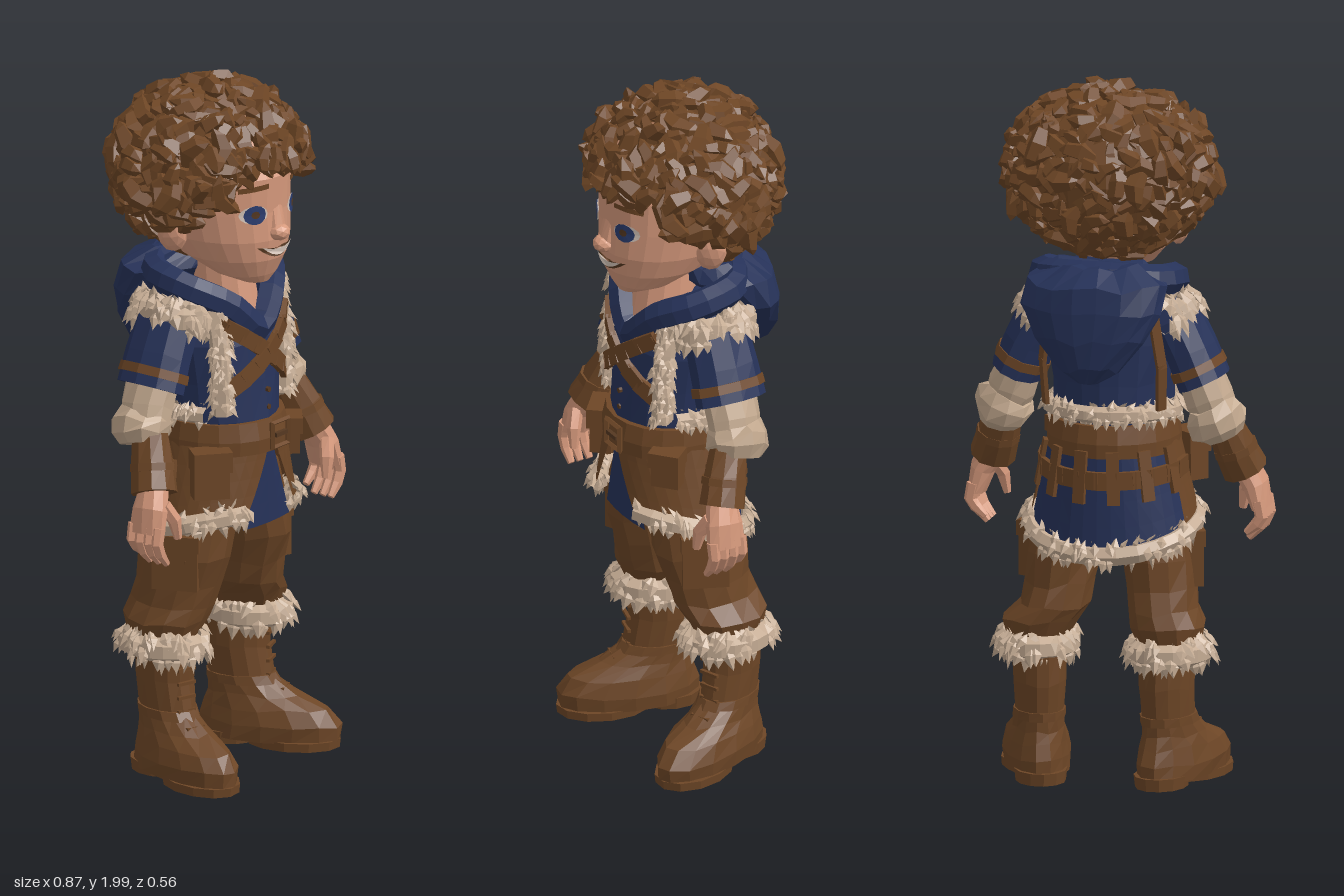
import * as THREE from 'three';
import { mergeGeometries } from 'three/addons/utils/BufferGeometryUtils.js';
import { ParametricGeometry } from 'three/addons/geometries/ParametricGeometry.js';

const V = (x, y, z) => new THREE.Vector3(x, y, z);
const mat = (name, color) => new THREE.MeshStandardMaterial({ name, color, flatShading: true, side: THREE.DoubleSide });

export function createModel() {
  const M = {
    hair: mat('hair brown', 0x6e4625), leather: mat('leather brown', 0x6d4626), skin: mat('skin', 0xd6997c),
    blue: mat('blue cloth', 0x263259), fur: mat('cream fur', 0xc4ab93), shirt: mat('cream linen', 0xc2a88e),
    iris: mat('eye blue', 0x2b3d70), white: mat('eye and tooth white', 0xd8c8bc), dark: mat('dark buckle brown', 0x553821),
  };
  const model = new THREE.Group();
  model.name = 'adventurer';
  let seed = 7;
  const rnd = () => (seed = (seed * 16807) % 2147483647) / 2147483647;
  const span = (a, b) => a + (b - a) * rnd();

  function add(name, geo, material, parent = model) {
    const m = new THREE.Mesh(geo, material);
    m.name = name;
    parent.add(m);
    return m;
  }
  const merge = list => mergeGeometries(list.map(g => (g.index ? g.toNonIndexed() : g)));
  const box = (w, h, d, x, y, z, ry = 0) => new THREE.BoxGeometry(w, h, d).rotateY(ry).translate(x, y, z);

  // Skin over elliptical rings [x, y, z, rx, rz], capped, optionally square to the path, with uneven folds
  function loft(rings, { seg = 12, tilt = false, folds = 0 } = {}) {
    if (rings[0][1] > rings.at(-1)[1]) rings = [...rings].reverse();
    const n = rings.length, pos = [], idx = [];
    const c = rings.map(r => V(r[0], r[1], r[2]));
    rings.forEach(([, , , rx, rz], i) => {
      const t = tilt ? c[Math.min(i + 1, n - 1)].clone().sub(c[Math.max(i - 1, 0)]).normalize() : V(0, 1, 0);
      const r = V(1, 0, 0).addScaledVector(t, -t.x).normalize(), f = r.clone().cross(t);
      for (let j = 0; j < seg; j++) {
        const a = (j / seg) * Math.PI * 2, k = 1 + folds * span(-1, 1);
        const p = c[i].clone().addScaledVector(r, Math.cos(a) * rx * k).addScaledVector(f, Math.sin(a) * rz * k);
        pos.push(p.x, p.y + folds * span(-0.25, 0.25) * (i > 0 ? 1 : 0), p.z);
      }
    });
    for (let i = 0; i < n - 1; i++) for (let j = 0; j < seg; j++) {
      const a = i * seg + j, b = i * seg + (j + 1) % seg;
      idx.push(a, a + seg, b, b, a + seg, b + seg);
    }
    pos.push(...c[0].toArray(), ...c[n - 1].toArray());
    for (let j = 0; j < seg; j++) {
      const k = (j + 1) % seg, top = (n - 1) * seg;
      idx.push(n * seg, j, k, n * seg + 1, top + k, top + j);
    }
    const g = new THREE.BufferGeometry();
    g.setAttribute('position', new THREE.Float32BufferAttribute(pos, 3));
    g.setIndex(idx);
    g.computeVertexNormals();
    return g;
  }

  // Fur roll: a core tube with flat leaf-shaped tufts lying over it
  function fur(points, closed, count, rad, len, down = 0.9) {
    const curve = new THREE.CatmullRomCurve3(points, closed);
    const list = [new THREE.TubeGeometry(curve, 20, rad, 6, closed)];
    for (let i = 0; i < count; i++) {
      const u = i / count, t = curve.getTangentAt(u);
      const d = V(span(-1, 1), span(-1, 1), span(-1, 1)).normalize();
      d.addScaledVector(t, -d.dot(t)).normalize();
      const p = curve.getPointAt(u).addScaledVector(d, rad);
      const lie = d.clone().multiplyScalar(0.6).add(V(0, -down, 0)).addScaledVector(t, span(-0.4, 0.4)).normalize();
      const side = lie.clone().cross(d).normalize();
      const basis = new THREE.Matrix4().makeBasis(side, lie, side.clone().cross(lie)).setPosition(p);
      list.push(new THREE.OctahedronGeometry(1).scale(len * 0.32, len * span(0.45, 0.7), len * 0.18).applyMatrix4(basis));
    }
    return merge(list);
  }

  // Flat strap of plates following points round the body
  function strap(points, w, t) {
    return merge(points.slice(1).map((b, i) => {
      const a = points[i], d = b.clone().sub(a), m = a.clone().add(b).multiplyScalar(0.5);
      const x = d.clone().normalize(), out = V(m.x, 0, m.z - 0.02);
      out.addScaledVector(x, -out.dot(x)).normalize();
      const basis = new THREE.Matrix4().makeBasis(x, out.clone().cross(x), out).setPosition(m);
      return new THREE.BoxGeometry(d.length() + 0.012, w, t).applyMatrix4(basis);
    }));
  }

  // Head and face
  const headRings = [[0, 1.425, 0.15, 0.04, 0.04], [0, 1.45, 0.115, 0.09, 0.09], [0, 1.5, 0.07, 0.135, 0.158],
    [0, 1.56, 0.045, 0.163, 0.192], [0, 1.64, 0.03, 0.175, 0.203], [0, 1.74, 0.012, 0.18, 0.225], [0, 1.85, 0, 0.15, 0.18], [0, 1.92, 0, 0.08, 0.1]];
  add('head', loft(headRings, { seg: 24 }), M.skin);
  function faceZ(x, y) {
    const i = Math.max(1, headRings.findIndex(r => r[1] >= y)), a = headRings[i - 1], b = headRings[i];
    const [, , z, rx, rz] = a.map((v, k) => v + (b[k] - v) * (y - a[1]) / (b[1] - a[1]));
    return z + rz * Math.sqrt(Math.max(0, 1 - (x / rx) ** 2));
  }
  function onFace(name, geo, x, y, lift, material) {
    geo.translate(x, y, 0);
    const p = geo.attributes.position;
    for (let i = 0; i < p.count; i++) p.setZ(i, faceZ(p.getX(i), p.getY(i)) + lift);
    geo.computeVertexNormals();
    add(name, geo, material);
  }
  const smile = (w, top, low) => {
    const s = new THREE.Shape();
    s.moveTo(-w, 0.012).quadraticCurveTo(0, top, w, 0.012).quadraticCurveTo(0, low, -w, 0.012);
    return new THREE.ShapeGeometry(s, 8);
  };
  for (const s of [1, -1]) {
    onFace('eyeWhite', new THREE.CircleGeometry(1, 14).scale(0.036, 0.026, 1), s * 0.08 - 0.003, 1.642, 0.004, M.white);
    onFace('iris', new THREE.CircleGeometry(0.028, 12), s * 0.079 - 0.004, 1.642, 0.007, M.iris);
    onFace('pupil', new THREE.CircleGeometry(0.011, 8), s * 0.079 - 0.005, 1.643, 0.009, M.dark);
    onFace('eyebrow', new THREE.PlaneGeometry(0.075, 0.015, 4, 1).rotateZ(s * -0.12), s * 0.085, 1.718, 0.007, M.hair);
    add('ear', new THREE.IcosahedronGeometry(1, 1).scale(0.026, 0.058, 0.042).rotateY(s * -0.5).rotateZ(s * -0.25).translate(s * 0.195, 1.58, 0.01), M.skin);
  }
  onFace('mouth', smile(0.077, -0.006, -0.062), 0, 1.533, 0.005, M.dark);
  onFace('teeth', smile(0.066, -0.01, -0.05), 0, 1.533, 0.009, M.white);
  add('nose', new THREE.IcosahedronGeometry(1, 1).scale(0.032, 0.025, 0.034).translate(-0.005, 1.58, 0.236), M.skin);
  add('noseBridge', loft([[-0.004, 1.58, 0.222, 0.032, 0.032], [0, 1.67, 0.214, 0.026, 0.016]], { seg: 8 }), M.skin);
  add('neck', loft([[0, 1.3, 0.055, 0.085, 0.098], [0, 1.48, 0.035, 0.075, 0.085]]), M.skin);

  // Curly hair: a core covered in bent, faceted locks
  const locks = [new THREE.SphereGeometry(1, 14, 10).scale(0.25, 0.215, 0.24).translate(0, 1.735, -0.035)];
  function lock(p, n, size) {
    const g = new THREE.SphereGeometry(1, 5, 4).rotateZ(Math.PI / 2), a = g.attributes.position, bend = span(0.25, 0.8);
    for (let i = 0; i < a.count; i++) a.setY(i, a.getY(i) * 0.6 + bend * a.getX(i) ** 2 - 0.2);
    g.scale(0.048 * size, 0.042 * size, 0.024 * size).rotateZ(span(0, 6.28)).rotateX(span(-0.6, 0.6)).rotateY(span(-0.6, 0.6));
    const q = new THREE.Quaternion().setFromUnitVectors(V(0, 0, 1), n);
    locks.push(g.applyQuaternion(q).translate(p.x, p.y, p.z));
  }
  for (let i = 0; i < 500; i++) {
    const y = 1 - (2 * (i + 0.5)) / 500, r = Math.sqrt(1 - y * y), a = i * 2.39996;
    const n = V(Math.cos(a) * r, y, Math.sin(a) * r), k = span(0.93, 1.05);
    const p = V(n.x * 0.275 * k, 1.73 + n.y * 0.217 * k, -0.012 + n.z * 0.246 * k);
    const line = p.z > -0.03 ? (p.x < 0 ? 1.6 : 1.65) + Math.max(0, p.z - 0.08) * (p.x < 0 ? 1.2 : 0.9) : 1.51;
    if (p.y > line) lock(p, n, span(0.8, 1.4));
  }
  for (let i = 0; i < 11; i++) {
    const x = -0.17 + i * 0.034;
    lock(V(x, 1.79 + span(-0.035, 0.02), faceZ(x * 0.9, 1.76) + 0.02), V(x * 3, 0.1, 1).normalize(), 0.95);
  }
  add('curlyHair', merge(locks), M.hair);

  // Tunic body and hood
  add('tunic', loft([[0, 0.93, 0.03, 0.165, 0.16], [0, 1.03, 0.03, 0.165, 0.165], [0, 1.14, 0.025, 0.172, 0.16], [0, 1.25, 0.02, 0.185, 0.155],
    [0, 1.33, 0.005, 0.18, 0.14], [0, 1.4, 0, 0.12, 0.1]], { seg: 20, folds: 0.02 }), M.blue);
  add('hoodSack', loft([[0.01, 1.17, -0.215, 0.03, 0.025], [0.01, 1.21, -0.21, 0.09, 0.05], [0.01, 1.29, -0.195, 0.155, 0.073], [0.01, 1.37, -0.165, 0.2, 0.1],
    [0.01, 1.44, -0.12, 0.198, 0.135], [0.01, 1.485, -0.08, 0.12, 0.1]], { seg: 18, folds: 0.04 }), M.blue);
  const collar = new THREE.CatmullRomCurve3([V(0.005, 1.285, 0.15), V(0.1, 1.365, 0.125), V(0.185, 1.42, 0.04), V(0.165, 1.44, -0.08), V(0, 1.45, -0.13),
    V(-0.15, 1.44, -0.08), V(-0.17, 1.42, 0.04), V(-0.09, 1.365, 0.125)], true);
  add('hoodCollar', new THREE.TubeGeometry(collar, 28, 0.044, 7, true), M.blue);

  // Chest straps and buttons
  const chest = (x, y) => V(x, y, 0.032 + 0.162 * Math.sqrt(1 - (x / 0.19) ** 2));
  for (const s of [1, -1]) {
    const pts = [];
    for (let i = 0; i <= 6; i++) pts.push(chest(s * (0.13 - i * 0.043), 1.315 - i * 0.031).add(V(0, 0, s > 0 ? 0.004 : 0)));
    add('chestStrap', strap(pts, 0.046, 0.016), M.leather);
    add('shoulderStrap', strap([pts[0], V(s * 0.15, 1.385, 0.02), V(s * 0.15, 1.35, -0.12), V(s * 0.17, 1.2, -0.105), V(s * 0.165, 1.08, -0.09)], 0.03, 0.012), M.leather);
  }
  for (const y of [1.06, 1.11]) add('button', new THREE.CylinderGeometry(0.008, 0.008, 0.01, 6).rotateX(Math.PI / 2).translate(0.005, y, 0.192), M.dark);

  // Fur edging of the vest
  for (const s of [1, -1]) {
    const dx = s > 0 ? 0.01 : 0;
    add('vestFurEdge', fur([V(s * 0.125 + dx, 1.36, 0.105), V(s * 0.135 + dx, 1.25, 0.132), V(s * 0.133 + dx, 1.15, 0.135), V(s * 0.13 + dx, 1.06, 0.137)], false, 80, 0.029, 0.045), M.fur);
    add('shoulderFur', fur([V(s * 0.15, 1.34, 0.085), V(s * 0.2, 1.34, 0.05), V(s * 0.215, 1.345, -0.03), V(s * 0.175, 1.335, -0.11)], false, 100, 0.043, 0.06), M.fur);
  }
  add('vestFurHem', fur([V(0.155, 1.055, 0.1), V(0.175, 1.055, 0), V(0.12, 1.06, -0.1), V(0, 1.06, -0.14), V(-0.12, 1.06, -0.1), V(-0.175, 1.055, 0), V(-0.155, 1.055, 0.1)],
    false, 120, 0.024, 0.04), M.fur);

  // Arms
  for (const s of [1, -1]) {
    const arm = new THREE.Group();
    arm.name = s > 0 ? 'leftArm' : 'rightArm';
    model.add(arm);
    const limb = (name, rings, m, folds = 0.03, seg = 10) => add(name, loft(rings.map(([x, ...r]) => [s * x, ...r]), { seg, tilt: true, folds }), m, arm);
    limb('shortSleeve', [[0.15, 1.365, -0.01, 0.05, 0.07], [0.185, 1.32, -0.01, 0.075, 0.095], [0.23, 1.23, -0.01, 0.075, 0.1], [0.268, 1.145, -0.01, 0.074, 0.105]], M.blue, 0.02);
    limb('sleeveBand', [[0.245, 1.196, -0.01, 0.079, 0.107], [0.256, 1.172, -0.01, 0.08, 0.109]], M.leather, 0);
    limb('shirtSleeve', [[0.25, 1.18, -0.01, 0.06, 0.08], [0.282, 1.1, -0.01, 0.067, 0.077], [0.31, 1.03, 0, 0.06, 0.07]], M.shirt);
    limb('rolledCuff', [[0.288, 1.08, -0.012, 0.068, 0.075], [0.298, 1.057, -0.012, 0.084, 0.09], [0.31, 1.027, -0.007, 0.083, 0.088], [0.319, 0.998, 0, 0.06, 0.07]], M.shirt, 0.05);
    limb('bracer', [[0.312, 1.02, 0.025, 0.05, 0.055], [0.337, 0.95, 0.05, 0.058, 0.062], [0.362, 0.88, 0.075, 0.065, 0.066]], M.leather);
    limb('bracerTie', [[0.337, 0.955, 0.05, 0.062, 0.066], [0.342, 0.935, 0.055, 0.063, 0.067]], M.leather, 0);
    limb('palm', [[0.362, 0.89, 0.075, 0.04, 0.045], [0.39, 0.84, 0.083, 0.036, 0.055], [0.407, 0.775, 0.085, 0.026, 0.058]], M.skin, 0);
    [0.128, 0.1, 0.07, 0.042].forEach((z, i) => limb('finger', [[0.407, 0.8, z, 0.02, 0.017], [0.416, 0.755, z, 0.019, 0.016],
      [0.402, 0.722 + (i === 3 ? 0.012 : 0), z, 0.017, 0.015], [0.373, 0.688 + (i === 3 ? 0.02 : 0), z, 0.01, 0.01]], M.skin, 0, 6));
    limb('thumb', [[0.372, 0.855, 0.115, 0.022, 0.022], [0.347, 0.81, 0.135, 0.02, 0.02], [0.337, 0.755, 0.14, 0.011, 0.012]], M.skin, 0, 6);
  }

  // Coat skirt: leather front panels, blue back, blue centre flap, fur hem
  const skirt = (a, v, out = 0) => {
    const low = 0.735 + 0.057 * Math.sin(a) - 0.012 * Math.sin(a) ** 2;
    return V(Math.cos(a) * (0.178 + 0.054 * v + out), 0.97 + (low - 0.97) * v, 0.025 + Math.sin(a) * (0.178 + 0.014 * v + out));
  };
  const F = Math.PI / 2, gap = v => 0.06 + 0.38 * v;
  for (const s of [1, -1]) add('skirtFrontPanel', new ParametricGeometry((u, v, t) =>
    t.copy(skirt(F - s * (gap(v) + (1.9 - gap(v)) * u), v, 0.006)), 10, 4), M.leather);
  add('skirtBack', new ParametricGeometry((u, v, t) => t.copy(skirt(F + 1.85 + u * (2 * Math.PI - 3.7), v)), 14, 4), M.blue);
  add('frontFlap', new ParametricGeometry((u, v, t) => t.set((u - 0.5) * (0.07 + 0.14 * v) + 0.014 * v, 0.97 - 0.25 * v, 0.188 - 0.04 * (u - 0.5) ** 2), 4, 4), M.blue);
  const hem = [];
  for (let i = 0; i <= 16; i++) hem.push(skirt(F + 0.46 + (i / 16) * (2 * Math.PI - 0.92), 1));
  add('skirtFurHem', fur(hem, false, 190, 0.028, 0.045), M.fur);

  // Belts, buckle, tabs and pouches
  add('belt', loft([[0, 0.94, 0.028, 0.186, 0.19], [0, 0.98, 0.028, 0.186, 0.192], [0, 1.03, 0.028, 0.178, 0.18]], { seg: 20 }), M.leather);
  const lower = [];
  for (let i = 0; i <= 12; i++) lower.push(skirt(Math.PI * (1 + i / 12), 0.3, 0.01));
  add('lowerBackBelt', strap(lower, 0.05, 0.014), M.leather);
  for (let i = 0; i < 6; i++) {
    const a = Math.PI * (1.13 + i * 0.148);
    add('backTab', strap([skirt(a, 0.05, 0.012), skirt(a, 0.5, 0.012)], 0.036, 0.012), M.leather);
  }
  add('buckle', new THREE.TorusGeometry(0.05, 0.009, 4, 4).rotateZ(Math.PI / 4).translate(0.02, 0.985, 0.222), M.leather);
  add('bucklePin', box(0.05, 0.012, 0.012, 0.02, 0.985, 0.224), M.dark);
  for (const [x, y, w, h, ry] of [[-0.185, 0.9, 0.1, 0.13, -0.7], [0.172, 0.93, 0.08, 0.1, 0.7]]) {
    add('pouch', box(w, h, 0.06, x, y, 0.135, ry), M.leather);
    add('pouchFlap', box(w + 0.01, h * 0.45, 0.072, x, y + h * 0.32, 0.138, ry), M.leather);
  }

  // Legs, pockets, fur cuffs and boots
  for (const s of [1, -1]) {
    const x = s > 0 ? 0.204 : -0.176, dz = s > 0 ? -0.022 : 0;
    add('trouserLeg', loft([[s * 0.085, 0.86, 0.03, 0.09, 0.115], [s * 0.115, 0.74, 0.022, 0.108, 0.13], [s * 0.137, 0.64, 0.012, 0.105, 0.138], [s * 0.145, 0.56, -0.005, 0.1, 0.125],
      [s * 0.155, 0.5, -0.02, 0.098, 0.125], [x * 0.95, 0.455, -0.03, 0.108, 0.122], [x, 0.4, -0.035, 0.085, 0.1]], { seg: 12, folds: 0.035 }), M.leather);
    add('thighPocket', box(0.04, 0.15, 0.13, s * 0.222, 0.635, 0.045, s * -0.4), M.leather);
    add('pocketFlap', box(0.05, 0.045, 0.14, s * 0.222, 0.695, 0.045, s * -0.4), M.leather);
    const ring = [];
    for (let i = 0; i < 10; i++) ring.push(V(x + Math.cos(i * Math.PI / 5) * 0.086, 0.384, -0.032 + Math.sin(i * Math.PI / 5) * 0.103));
    add('bootFur', fur(ring, true, 140, 0.036, 0.056), M.fur);

    const boot = new THREE.Group();
    boot.name = s > 0 ? 'leftBoot' : 'rightBoot';
    boot.position.set(x, 0, dz);
    boot.rotation.y = s * (s > 0 ? 0.36 : 0.26);
    model.add(boot);
    add('bootUpper', loft([[0, 0.02, 0.055, 0.09, 0.203], [0, 0.065, 0.058, 0.094, 0.203], [0, 0.11, 0.045, 0.086, 0.18], [0, 0.145, 0.01, 0.073, 0.132], [0, 0.19, -0.025, 0.067, 0.095],
      [0, 0.28, -0.038, 0.073, 0.092], [0, 0.39, -0.035, 0.077, 0.093]], { seg: 14, folds: 0.025 }), M.leather, boot);
    add('heel', loft([[0, 0, -0.065, 0.07, 0.085], [0, 0.035, -0.065, 0.074, 0.09]]), M.leather, boot);
    add('sole', loft([[0, 0, 0.125, 0.09, 0.133], [0, 0.025, 0.125, 0.092, 0.136]]), M.leather, boot);
    add('bootLaces', merge([0.16, 0.2, 0.24, 0.28, 0.32].map((y, i) => box(0.06, 0.009, 0.01, 0, y, i ? 0.06 : 0.1))), M.leather, boot);
    add('ankleStrap', loft([[0, 0.175, -0.018, 0.074, 0.108], [0, 0.2, -0.027, 0.073, 0.1]]), M.leather, boot);
  }
  return model;
}
